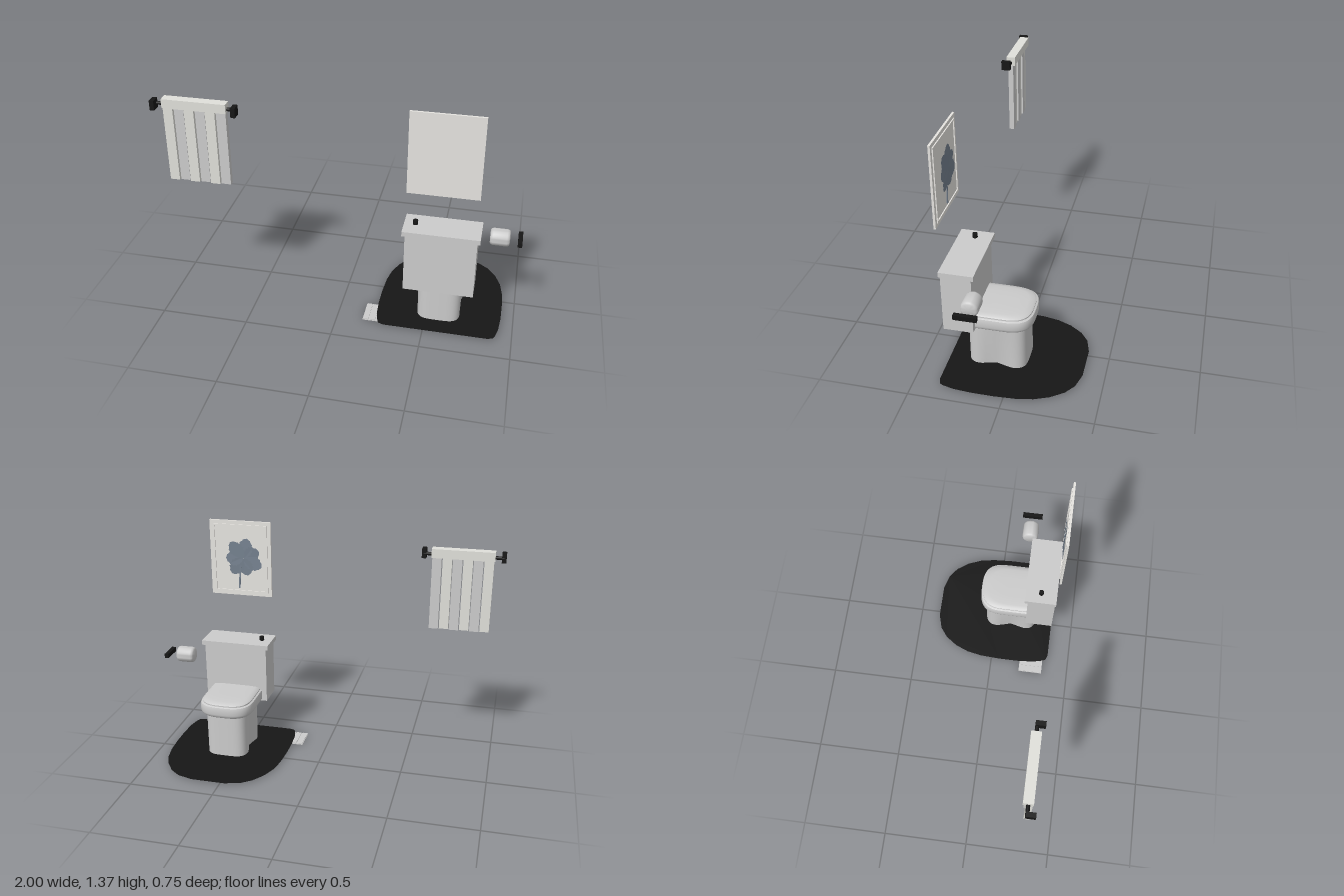
import * as THREE from 'three';
import { toCreasedNormals } from 'three/addons/utils/BufferGeometryUtils.js';

const mat = (color) => new THREE.MeshStandardMaterial({ color });
const grey = mat(0xcccccc);
const black = mat(0x161616);
const paper = mat(0xe6e4e0);
const towelLight = mat(0xe0e0da);
const towelDark = mat(0xc8c8c4);
const blue = mat(0x75818f);
blue.side = THREE.DoubleSide;
const rugMat = mat(0x161616);
rugMat.side = THREE.DoubleSide;

const CX = 0.572; // centre line of the toilet

function add(parent, name, geometry, material) {
  const mesh = new THREE.Mesh(geometry, material);
  mesh.name = name;
  parent.add(mesh);
  return mesh;
}

// Box given by its minimum and maximum on each axis
function box(parent, name, material, x0, x1, y0, y1, z0, z1) {
  const mesh = add(parent, name, new THREE.BoxGeometry(x1 - x0, y1 - y0, z1 - z0), material);
  mesh.position.set((x0 + x1) / 2, (y0 + y1) / 2, (z0 + z1) / 2);
  return mesh;
}

function group(parent, name) {
  const g = new THREE.Group();
  g.name = name;
  parent.add(g);
  return g;
}

// Closed skin through rings of points, counter-clockwise from above, bottom to top
function loft(rings) {
  const n = rings[0].length;
  const pos = rings.flat().flatMap((p) => [p.x, p.y, p.z]);
  const index = [];
  for (let j = 0; j < rings.length - 1; j++) {
    for (let i = 0; i < n; i++) {
      const k = (i + 1) % n;
      const a = j * n + i, b = j * n + k;
      index.push(a, b, b + n, a, b + n, a + n);
    }
  }
  [rings[0], rings[rings.length - 1]].forEach((ring, cap) => {
    const c = new THREE.Vector3();
    ring.forEach((p) => c.addScaledVector(p, 1 / n));
    const centre = pos.length / 3;
    pos.push(c.x, c.y, c.z);
    const base = cap ? (rings.length - 1) * n : 0;
    for (let i = 0; i < n; i++) {
      const a = base + i, b = base + ((i + 1) % n);
      if (cap) index.push(centre, a, b);
      else index.push(centre, b, a);
    }
  });
  const g = new THREE.BufferGeometry();
  g.setAttribute('position', new THREE.Float32BufferAttribute(pos, 3));
  g.setIndex(index);
  return toCreasedNormals(g, 0.6);
}

const power = (v, e) => Math.sign(v) * Math.pow(Math.abs(v), 2 / e);

// Seat outline: rounded front, straight sides, square back
function seatRing(y, w, front, back = 0.195) {
  const ring = [];
  const depth = 0.16;
  for (let i = 0; i <= 28; i++) {
    const t = (i / 28) * Math.PI;
    ring.push(new THREE.Vector3(CX + w * power(Math.cos(t), 3), y, front + depth - depth * power(Math.sin(t), 3)));
  }
  ring.push(new THREE.Vector3(CX - w, y, back), new THREE.Vector3(CX + w, y, back));
  return ring;
}

// Pedestal outline: rounded rectangle, pinched along the sides towards the floor
function pedestalRing(y) {
  const ring = [];
  const drop = 1 - y / 0.29;
  for (let i = 0; i < 48; i++) {
    const t = (i / 48) * Math.PI * 2;
    const z = 0.096 - 0.164 * power(Math.sin(t), 4);
    const pinch = 1 - 0.24 * drop * Math.exp(-(((z - 0.1) / 0.07) ** 2));
    ring.push(new THREE.Vector3(CX + 0.131 * pinch * power(Math.cos(t), 4), y, z));
  }
  return ring;
}

function makeToilet(parent) {
  const g = group(parent, 'toilet');
  const levels = [0, 0.05, 0.1, 0.16, 0.22, 0.285];
  add(g, 'pedestal', loft(levels.map(pedestalRing)), grey);
  add(g, 'seat', loft([
    seatRing(0.278, 0.152, -0.094), seatRing(0.288, 0.16, -0.103), seatRing(0.3, 0.163, -0.106),
    seatRing(0.335, 0.163, -0.106), seatRing(0.346, 0.16, -0.103), seatRing(0.35, 0.154, -0.097),
  ]), grey);
  add(g, 'seatLid', loft([
    seatRing(0.348, 0.15, -0.093), seatRing(0.357, 0.15, -0.093), seatRing(0.364, 0.142, -0.083),
    seatRing(0.368, 0.12, -0.055), seatRing(0.37, 0.07, 0.0),
  ]), grey);
  box(g, 'tank', grey, 0.379, 0.767, 0.278, 0.627, 0.195, 0.36);
  box(g, 'tankLid', grey, 0.362, 0.782, 0.625, 0.653, 0.177, 0.365);
  add(g, 'flushButton', new THREE.CylinderGeometry(0.014, 0.014, 0.025, 20), black).position.set(0.424, 0.665, 0.27);
}

function makeRug(parent) {
  // Right half of the outline from front to back, mirrored for the left
  const half = [[0.1, -0.38], [0.19, -0.355], [0.25, -0.31], [0.3, -0.24], [0.333, -0.16], [0.35, -0.07],
    [0.357, 0.05], [0.357, 0.17], [0.35, 0.27], [0.335, 0.335], [0.325, 0.355], [0.295, 0.365]];
  const right = half.map(([x, z]) => new THREE.Vector2(CX + x, -z));
  const left = half.map(([x, z]) => new THREE.Vector2(CX - x, -z)).reverse();
  const shape = new THREE.Shape([...right, ...left]);
  shape.holes.push(new THREE.Path(pedestalRing(0).map((p) => new THREE.Vector2(p.x, -p.z))));
  add(parent, 'rug', new THREE.ShapeGeometry(shape).rotateX(-Math.PI / 2), rugMat).position.y = 0.009;
}

function makeFloorVent(parent) {
  const g = group(parent, 'floorVent');
  box(g, 'ventBase', grey, 0.15, 0.385, 0, 0.004, 0.187, 0.335);
  for (let i = 0; i < 6; i++) {
    const x = 0.153 + i * 0.0395;
    box(g, 'ventSlat', grey, x, x + 0.03, 0.004, 0.008, 0.19, 0.332);
  }
}

function makeTowelRack(parent) {
  const g = group(parent, 'towelRack');
  const rod = add(g, 'rod', new THREE.CylinderGeometry(0.01, 0.01, 0.45, 16).rotateZ(Math.PI / 2), black);
  rod.position.set(-0.763, 1.255, 0.318);
  for (const x of [-1, -0.553]) box(g, 'bracket', black, x, x + 0.025, 1.228, 1.282, 0.309, 0.361);
  // Folded top and hanging pleats, alternating in depth
  box(g, 'towelFold', towelLight, -0.94, -0.585, 1.238, 1.29, 0.291, 0.344);
  for (let i = 0; i < 6; i++) {
    const x = -0.935 + i * 0.0585;
    const z = i % 2 ? 0.304 : 0.312;
    box(g, 'towelPleat', i % 2 ? towelDark : towelLight, x, x + 0.0535, 0.81, 1.24, z, z + 0.03);
  }
}

function makePaperHolder(parent) {
  const g = group(parent, 'paperHolder');
  const profile = [[0, -0.054], [0.036, -0.054], [0.044, -0.049], [0.048, -0.038],
    [0.048, 0.038], [0.044, 0.049], [0.036, 0.054], [0, 0.054]].map(([x, y]) => new THREE.Vector2(x, y));
  const roll = toCreasedNormals(new THREE.LatheGeometry(profile, 32), 0.7).rotateZ(Math.PI / 2);
  add(g, 'paperRoll', roll, grey).position.set(0.879, 0.56, 0.16);
  box(g, 'holderBar', black, 0.976, 1.0, 0.546, 0.573, 0.1, 0.222);
}

// Leaf with a saw-toothed edge, growing along +y from its base
function petalGeometry(length, width) {
  const side = [];
  for (let i = 1; i < 12; i++) {
    const t = i / 12;
    side.push([width * Math.pow(Math.sin(Math.PI * t), 0.6) * (i % 2 ? 0.5 : 0.42), t * length]);
  }
  const pts = [[0, 0], ...side, [0, length], ...side.map(([x, y]) => [-x, y]).reverse()];
  return new THREE.ShapeGeometry(new THREE.Shape(pts.map(([x, y]) => new THREE.Vector2(x, y))));
}

function makePicture(parent) {
  const g = group(parent, 'wallPicture');
  const x0 = 0.382, x1 = 0.764, y0 = 0.903, y1 = 1.367, inset = 0.022, w = 0.01;
  box(g, 'panel', paper, x0, x1, y0, y1, 0.362, 0.374);
  // Thin raised border on the picture side
  const [a, b, c, d] = [x0 + inset, x1 - inset, y0 + inset, y1 - inset];
  box(g, 'border', paper, a, b, c, c + w, 0.356, 0.363);
  box(g, 'border', paper, a, b, d - w, d, 0.356, 0.363);
  box(g, 'border', paper, a, a + w, c, d, 0.356, 0.363);
  box(g, 'border', paper, b - w, b, c, d, 0.356, 0.363);
  // Flower
  const flower = group(g, 'flower');
  flower.position.set(0.555, 1.14, 0.355);
  const stem = box(flower, 'stem', blue, 0.018, 0.028, -0.19, 0, -0.001, 0.004);
  stem.rotation.z = 0.08;
  for (let i = 0; i < 7; i++) {
    const petal = add(flower, 'petal', petalGeometry(0.125 - (i % 2) * 0.015, 0.1), blue);
    petal.rotation.set(0.02, i % 2 ? 0.04 : -0.04, (i / 7) * Math.PI * 2 + 0.2, 'ZYX');
    petal.position.z = -0.0006 * i;
  }
}

export function createModel() {
  const model = new THREE.Group();
  model.name = 'bathroomSet';
  makeToilet(model);
  makeRug(model);
  makeFloorVent(model);
  makeTowelRack(model);
  makePaperHolder(model);
  makePicture(model);
  return model;
}
